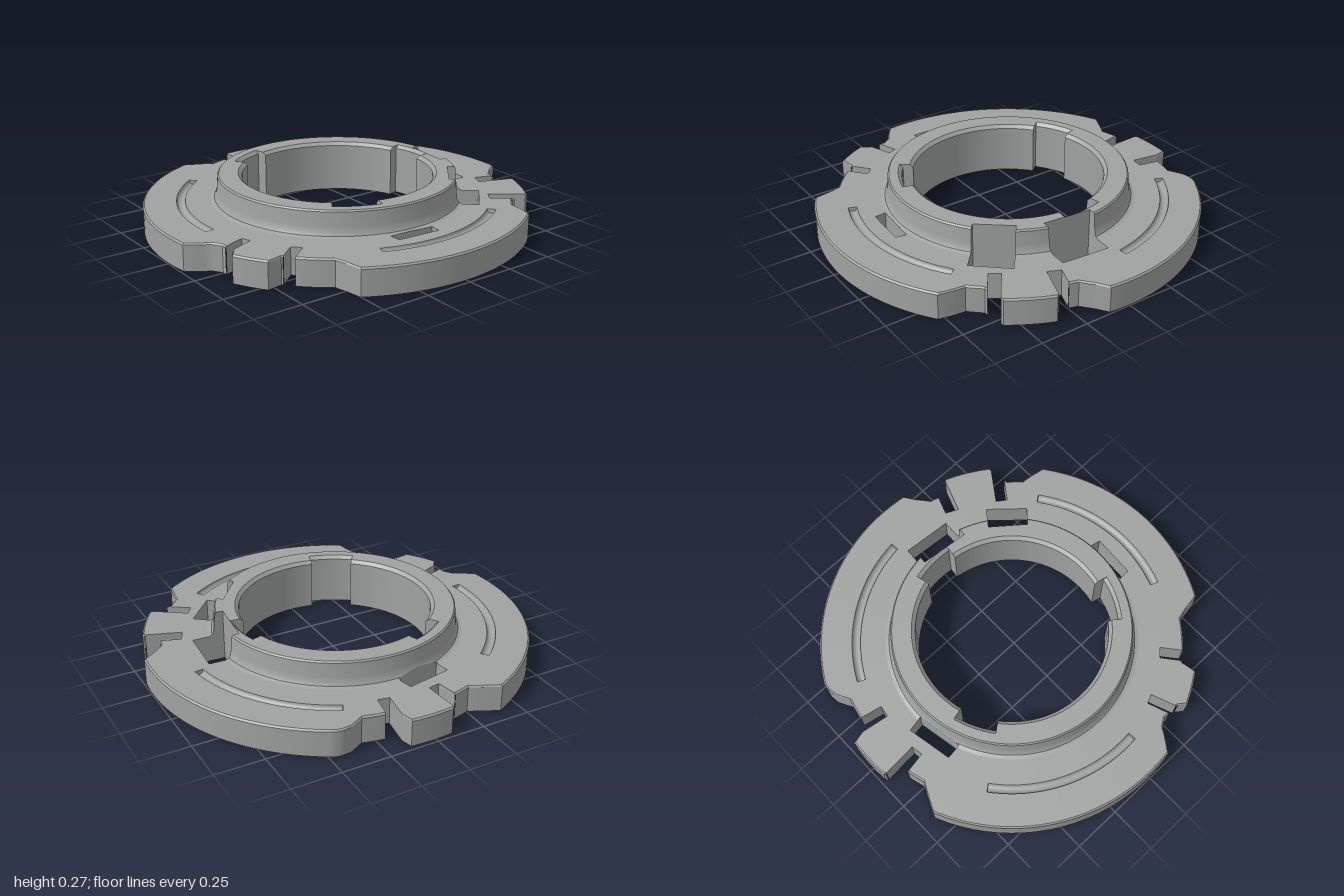
import * as THREE from 'three';
import { toCreasedNormals } from 'three/addons/utils/BufferGeometryUtils.js';

const CZ = -0.015, TOP = 0.14, HUB = 0.27, RAD = Math.PI / 180;

// Outer outline of the flange: three lobes and three tabs, as x, z corners
const outline = [
  [0.99, 0.11], [0.93, 0.15], [0.87, 0.2], [0.855, 0.25], [0.91, 0.35], [0.795, 0.565],
  [0.67, 0.58], [0.61, 0.645], [0.605, 0.7], [0.59, 0.78],
  [-0.5, 0.84], [-0.515, 0.75], [-0.53, 0.69], [-0.655, 0.58], [-0.705, 0.52], [-0.785, 0.535],
  [-0.875, 0.38], [-0.845, 0.34], [-0.845, 0.245], [-0.875, 0.2], [-0.985, 0.125],
  [-0.4, -0.925], [-0.345, -0.9], [-0.255, -0.855], [-0.165, -0.88], [-0.09, -0.975],
  [0.13, -0.975], [0.15, -0.89], [0.2, -0.87], [0.315, -0.845], [0.39, -0.885], [0.44, -0.89], [0.47, -0.885],
].map(([x, z]) => [(Math.atan2(z - CZ, x) / RAD + 360) % 360, Math.min(0.997, Math.hypot(x, z - CZ))]);

// Openings through the part, as convex quads in x, z
const cutters = {
  window: [
    [[0.57, -0.095], [0.73, -0.085], [0.71, 0.17], [0.545, 0.16]],
    [[0.49, 0.28], [0.62, 0.385], [0.475, 0.545], [0.36, 0.44]],
    [[-0.16, 0.62], [0.08, 0.64], [0.07, 0.695], [-0.155, 0.68]],
    [[-0.25, -0.685], [-0.015, -0.73], [0, -0.65], [-0.24, -0.605]],
  ],
  tabNotch: [
    [[0.755, 0.21], [0.95, 0.28], [0.92, 0.345], [0.725, 0.275]],
    [[0.62, 0.455], [0.82, 0.595], [0.785, 0.645], [0.585, 0.505]],
    [[-0.57, 0.495], [-0.75, 0.64], [-0.79, 0.6], [-0.61, 0.455]],
    [[-0.715, 0.28], [-0.91, 0.355], [-0.93, 0.305], [-0.735, 0.235]],
    [[-0.145, -0.77], [-0.185, -1], [-0.1, -1], [-0.085, -0.78]],
    [[0.12, -0.765], [0.155, -0.98], [0.225, -0.97], [0.18, -0.755]],
  ],
};
const allCutters = [...cutters.window, ...cutters.tabNotch];

// Angular ranges in degrees of the bore recesses and the curved grooves
const recesses = [[-17, 6.3], [104, 129], [231.5, 254]];
const grooves = [[-64, -7.5], [53.5, 112], [175, 232]];
const within = (ranges, a) => ranges.some(([s, e]) => (a - s + 720) % 360 < e - s);

function outerRadius(a) {
  a = (a + 720) % 360;
  const n = outline.length;
  let i = outline.findIndex(p => p[0] > a);
  if (i < 0) i = n;
  const p = outline[(i - 1 + n) % n], q = outline[i % n];
  const span = (q[0] - p[0] + 360) % 360;
  return p[1] + (q[1] - p[1]) * ((a - p[0] + 360) % 360) / span;
}

// Radial section at an angle, running from the bore over the hub to the skirt
const GROOVE_STEPS = 8, HUB_START = 1, FLANGE_START = 9;
function section(a) {
  const b = within(recesses, a) ? 0.542 : 0.49, R = outerRadius(a);
  const pts = [[b, 0], [b, 0.253], [b + 0.018, HUB], [0.607, HUB], [0.614, 0.262],
    [0.62, 0.19], [0.624, 0.165], [0.633, 0.148], [0.65, TOP], [0.655, TOP]];
  const depth = within(grooves, a) ? 0.022 : 0;
  for (let i = 0; i <= GROOVE_STEPS; i++) {
    const t = Math.PI * i / GROOVE_STEPS;
    pts.push([0.803 - 0.022 * Math.cos(t), TOP - depth * Math.sin(t)]);
  }
  pts.push([R - 0.008, TOP], [R, TOP - 0.008], [R, 0]);
  return pts;
}

// Height of the upper surface above a ground point, or 0 outside the part
function heightAt(x, z) {
  const r = Math.hypot(x, z - CZ), s = section(Math.atan2(z - CZ, x) / RAD);
  for (let i = 1; i < s.length - 2; i++) {
    const [r0, y0] = s[i], [r1, y1] = s[i + 1];
    if (r >= r0 && r <= r1) return y0 + (y1 - y0) * (r - r0) / (r1 - r0);
  }
  return 0;
}

// Part of a polygon on one side of the vertical plane through p and q
function clip(poly, p, q, sign) {
  const side = v => sign * ((q[0] - p[0]) * (v.z - p[1]) - (q[1] - p[1]) * (v.x - p[0]));
  const out = [];
  poly.forEach((v, i) => {
    const w = poly[(i + 1) % poly.length], d = side(v), e = side(w);
    if (d >= 0) out.push(v);
    if ((d > 0 && e < 0) || (d < 0 && e > 0)) out.push(v.clone().lerp(w, d / (d - e)));
  });
  return out.length > 2 ? out : [];
}

function subtract(poly, quad) {
  let rest = poly;
  const pieces = [];
  for (let i = 0; i < 4 && rest.length; i++) {
    const p = quad[i], q = quad[(i + 1) % 4];
    const outside = clip(rest, p, q, -1);
    if (outside.length) pieces.push(outside);
    rest = clip(rest, p, q, 1);
  }
  return rest.length ? pieces : [poly];
}

function toGeometry(polys) {
  const pos = [], ab = new THREE.Vector3(), ac = new THREE.Vector3();
  for (const p of polys) {
    for (let i = 1; i < p.length - 1; i++) {
      ab.subVectors(p[i], p[0]);
      ac.subVectors(p[i + 1], p[0]);
      if (ab.cross(ac).length() < 1e-9) continue;
      for (const v of [p[0], p[i], p[i + 1]]) pos.push(v.x, v.y, v.z);
    }
  }
  const g = new THREE.BufferGeometry();
  g.setAttribute('position', new THREE.Float32BufferAttribute(pos, 3));
  return toCreasedNormals(g, 0.5);
}

export function createModel() {
  const group = new THREE.Group();
  const grey = new THREE.MeshStandardMaterial({ color: 0xa0a2a1, side: THREE.DoubleSide });
  grey.name = 'grey';
  const add = (name, polys) => {
    const mesh = new THREE.Mesh(toGeometry(polys), grey);
    mesh.name = name;
    group.add(mesh);
  };

  // Angles at which the section is swept, with tight pairs at each step
  let angles = outline.map(p => p[0]);
  for (let a = 0; a < 360; a += 2) angles.push(a);
  for (const [s, e] of [...recesses, ...grooves]) {
    for (const a of [s, e]) angles.push((a - 0.06 + 360) % 360, (a + 0.06 + 360) % 360);
  }
  angles = angles.sort((a, b) => a - b).filter((a, i, l) => i === 0 || a - l[i - 1] > 0.02);
  const rings = angles.map(a => section(a).map(([r, y]) =>
    new THREE.Vector3(r * Math.cos(a * RAD), y, CZ + r * Math.sin(a * RAD))));

  // Swept band between two section points, with the openings cut out
  const band = (from, to) => {
    let polys = [];
    rings.forEach((ring, i) => {
      const next = rings[(i + 1) % rings.length];
      for (let k = from; k < to; k++) polys.push([ring[k], next[k], next[k + 1], ring[k + 1]]);
    });
    for (const quad of allCutters) polys = polys.flatMap(p => subtract(p, quad));
    return polys;
  };
  const last = rings[0].length - 1;
  add('boreWall', band(0, HUB_START));
  add('hub', band(HUB_START, FLANGE_START));
  add('flange', band(FLANGE_START, last - 1));
  add('skirt', band(last - 1, last));

  // Walls lining each opening, down to the base
  for (const [name, quads] of Object.entries(cutters)) {
    quads.forEach((quad, n) => {
      const walls = [], steps = 40;
      quad.forEach((p, i) => {
        const q = quad[(i + 1) % 4];
        const at = t => [p[0] + (q[0] - p[0]) * t, p[1] + (q[1] - p[1]) * t];
        for (let k = 0; k < steps; k++) {
          const [x0, z0] = at(k / steps), [x1, z1] = at((k + 1) / steps);
          const y0 = heightAt(x0, z0), y1 = heightAt(x1, z1);
          if (!y0 || !y1) continue;
          walls.push([new THREE.Vector3(x0, 0, z0), new THREE.Vector3(x0, y0, z0),
            new THREE.Vector3(x1, y1, z1), new THREE.Vector3(x1, 0, z1)].reverse());
        }
      });
      add(`${name}Walls${n + 1}`, walls);
    });
  }
  return group;
}
